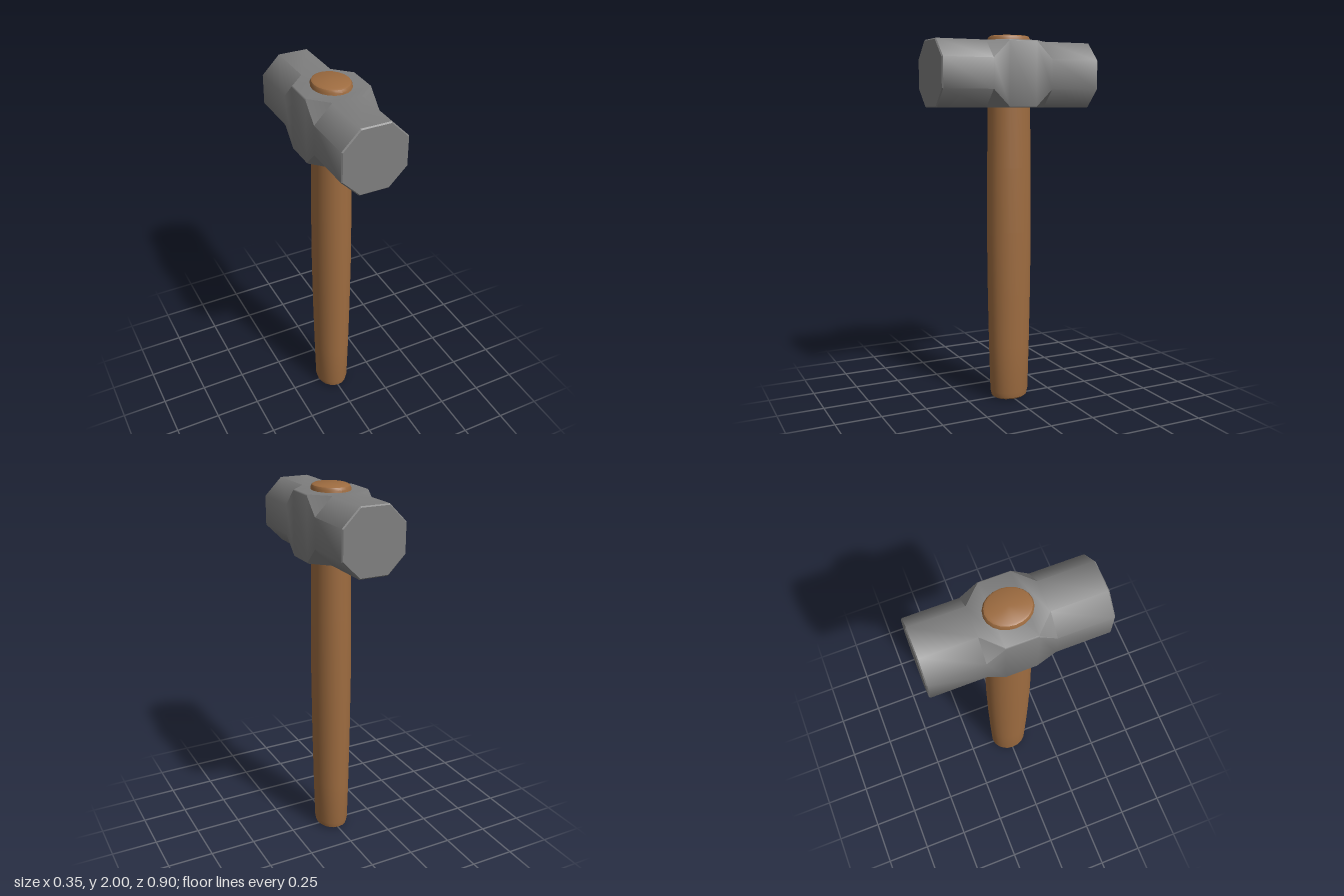
import * as THREE from 'three';
import { toCreasedNormals, mergeGeometries } from 'three/addons/utils/BufferGeometryUtils.js';

const HALF = 0.174; // half width of the head

// Square section with cut corners, counterclockwise seen from +z
function octagon(half, cut, z) {
  const f = half - cut;
  return [
    [half, -f], [half, f], [f, half], [-f, half],
    [-half, f], [-half, -f], [-f, -half], [f, -half],
  ].map(([x, y]) => [x, y, z]);
}

// Skin a row of sections running from -z to +z, optionally capping both ends
function loft(sections) {
  const pos = [];
  for (let s = 0; s < sections.length - 1; s++) {
    const a = sections[s], b = sections[s + 1];
    for (let i = 0; i < a.length; i++) {
      const j = (i + 1) % a.length;
      pos.push(...a[i], ...a[j], ...b[j], ...a[i], ...b[j], ...b[i]);
    }
  }
  return toGeometry(pos);
}

function cap(section, facing) {
  const pos = [];
  for (let i = 1; i < section.length - 1; i++) {
    const [p, q] = facing > 0 ? [i, i + 1] : [i + 1, i];
    pos.push(...section[0], ...section[p], ...section[q]);
  }
  return toGeometry(pos);
}

function toGeometry(pos) {
  const g = new THREE.BufferGeometry();
  g.setAttribute('position', new THREE.Float32BufferAttribute(pos, 3));
  g.computeVertexNormals();
  return g;
}

export function createModel() {
  const group = new THREE.Group();
  const steel = new THREE.MeshStandardMaterial({ color: 0x7f7f7f });
  steel.name = 'steel';
  const wood = new THREE.MeshStandardMaterial({ color: 0x9e6c40 });
  wood.name = 'wood';

  // Head: square in the middle, tapering into octagonal striking ends
  const cut = 0.095, edge = 0.006, end = 0.452;
  const body = loft([
    octagon(HALF, cut, -end + edge),
    octagon(HALF, cut, -0.17),
    octagon(HALF, 0.006, -0.08),
    octagon(HALF, 0.006, 0.08),
    octagon(HALF, cut, 0.17),
    octagon(HALF, cut, end - edge),
  ]);
  const parts = [toCreasedNormals(body, 0.9)];

  // Bevelled striking faces
  const back = octagon(HALF - edge, cut - edge * 0.6, -end);
  const front = octagon(HALF - edge, cut - edge * 0.6, end);
  parts.push(
    loft([back, octagon(HALF, cut, -end + edge)]),
    loft([octagon(HALF, cut, end - edge), front]),
    cap(back, -1),
    cap(front, 1),
  );
  const head = new THREE.Mesh(mergeGeometries(parts), steel);
  head.name = 'hammerHead';
  head.position.y = 1.797;
  group.add(head);

  // Handle: oval shaft, swelling in the middle and poking out above the head
  const profile = [
    [0, 0.005], [0.075, 0], [0.086, 0.01], [0.092, 0.04], [0.098, 0.3],
    [0.103, 0.6], [0.106, 0.95], [0.104, 1.3], [0.1, 1.65],
    [0.1, 1.982], [0.094, 1.995], [0.085, 2], [0, 2],
  ].map(([r, y]) => new THREE.Vector2(r, y));
  const shaft = new THREE.LatheGeometry(profile, 20);
  shaft.scale(1, 1, 1.18);
  const handle = new THREE.Mesh(toCreasedNormals(shaft, 0.6), wood);
  handle.name = 'handle';
  group.add(handle);

  return group;
}
